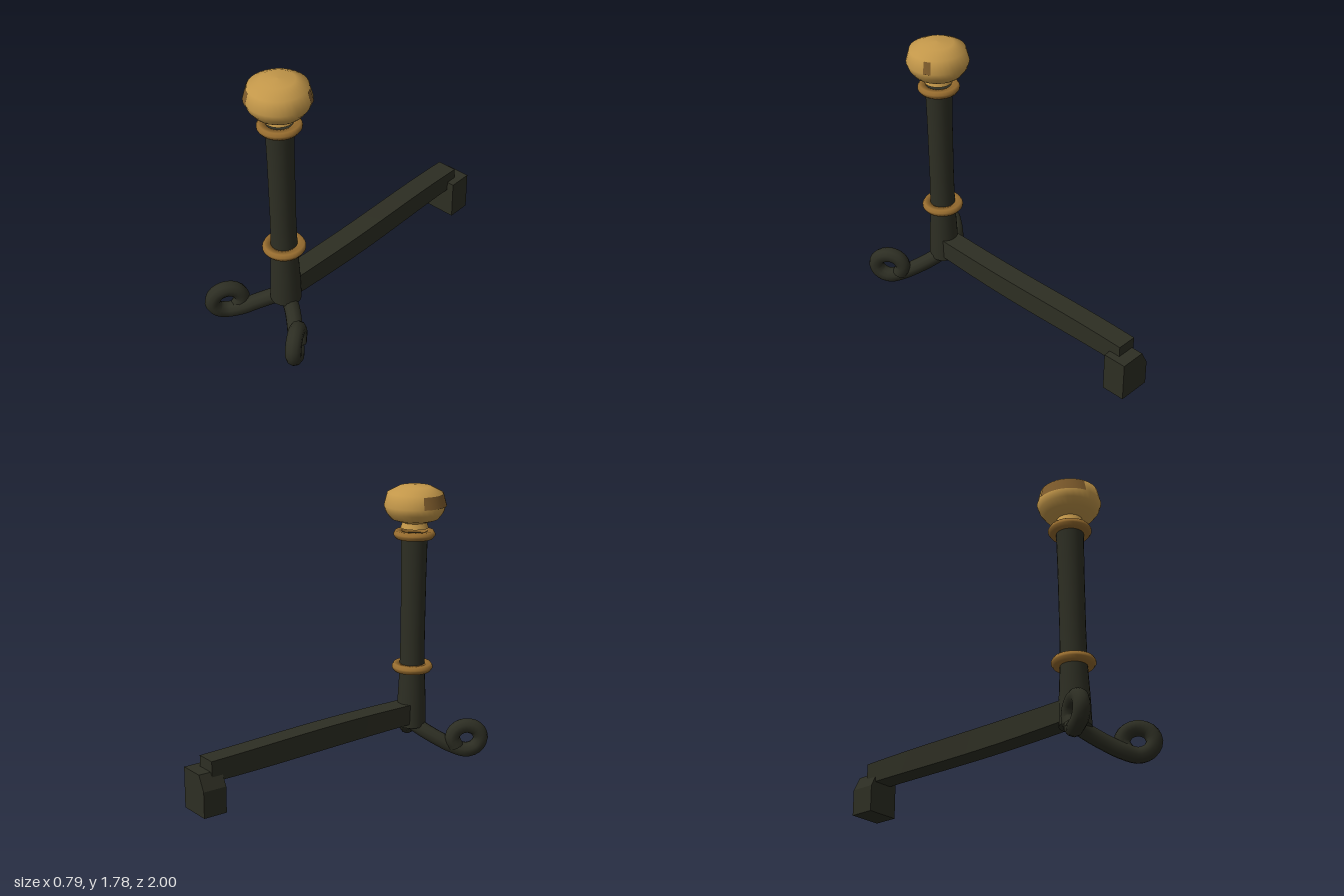
import * as THREE from 'three';

const iron = new THREE.MeshStandardMaterial({ color: 0x2d2e23 });
iron.name = 'blackened iron';
iron.flatShading = false;
const brass = new THREE.MeshStandardMaterial({ color: 0xc4984a });
brass.name = 'brass';
brass.side = THREE.DoubleSide;
const darkBrass = new THREE.MeshStandardMaterial({ color: 0x986d2f });
darkBrass.name = 'dark brass';
const tarnish = new THREE.MeshStandardMaterial({ color: 0x7f5c2c });
tarnish.name = 'tarnish';
tarnish.side = THREE.DoubleSide;

const POST_Z = 0.655;

export function createModel() {
  const model = new THREE.Group();
  model.name = 'fireDog';

  const add = (name, geometry, material, x = 0, y = 0, z = 0) => {
    const mesh = new THREE.Mesh(geometry, material);
    mesh.name = name;
    mesh.position.set(x, y, z);
    model.add(mesh);
    return mesh;
  };
  const lathe = (points, segments = 32, start = 0, length = Math.PI * 2) =>
    new THREE.LatheGeometry(points.map(([r, y]) => new THREE.Vector2(r, y)), segments, start, length);

  // Upright post, flared below the lower collar
  add('post', lathe([[0, 0.2], [0.096, 0.2], [0.096, 0.2], [0.092, 0.36], [0.081, 0.58],
    [0.078, 0.8], [0.08, 1.2], [0.084, 1.46], [0.084, 1.46], [0, 1.46]], 20), iron, 0, 0, POST_Z);

  // Two brass collars
  const collar = lathe([[0.08, -0.024], [0.118, -0.025], [0.131, -0.006], [0.131, 0.006],
    [0.12, 0.025], [0.08, 0.024], [0.08, -0.024]]);
  add('lowerCollar', collar, darkBrass, 0, 0.595, POST_Z);
  add('upperCollar', collar, darkBrass, 0, 1.464, POST_Z);

  // Knob with a short neck
  add('knobNeck', lathe([[0.088, 1.505], [0.08, 1.53], [0.074, 1.55]]), brass, 0, 0, POST_Z);
  add('knob', lathe([[0.07, 1.538], [0.15, 1.565], [0.18, 1.605], [0.195, 1.648], [0.174, 1.73],
    [0.1, 1.768], [0, 1.776]]), brass, 0, 0, POST_Z);

  // Tarnished patches lying on the knob
  for (const [from, to] of [[-113, -22], [110, 124]]) {
    add('knobPatch', lathe([[0.199, 1.648], [0.179, 1.724]], 12,
      THREE.MathUtils.degToRad(from), THREE.MathUtils.degToRad(to - from)), tarnish, 0, 0, POST_Z);
  }

  // Splayed front legs ending in vertical scroll loops
  for (const side of [1, -1]) {
    const path = [[0.01, 0.215, 0.655], [0.08, 0.175, 0.69], [0.16, 0.125, 0.75], [0.225, 0.084, 0.81]];
    for (let deg = -90; deg <= 225; deg += 45) {
      const a = THREE.MathUtils.degToRad(deg);
      path.push([0.295 + 0.05 * Math.cos(a), 0.143 + 0.082 * Math.sin(a), 0.875 + 0.078 * Math.cos(a)]);
    }
    const curve = new THREE.CatmullRomCurve3(path.map(([x, y, z]) => new THREE.Vector3(side * x, y, z)));
    add(side > 0 ? 'leftLeg' : 'rightLeg', new THREE.TubeGeometry(curve, 36, 0.049, 10), iron);
  }

  // Long log bar, slightly uneven and sloping to the back
  const bar = new THREE.BoxGeometry(0.132, 0.13, 1.53, 1, 1, 10);
  const p = bar.attributes.position;
  for (let i = 0; i < p.count; i++) {
    const t = 0.5 - p.getZ(i) / 1.53;
    p.setX(i, p.getX(i) + 0.009 * Math.sin(t * Math.PI * 1.6));
    p.setY(i, p.getY(i) * (1 + 0.1 * Math.sin(t * Math.PI)) + 0.292 - 0.03 * t);
  }
  bar.computeVertexNormals();
  add('logBar', bar, iron, 0, 0, -0.155);

  // Rear foot block with one bevelled upper edge
  const outline = new THREE.Shape([[-0.108, 0], [0.106, 0], [0.106, 0.258], [-0.06, 0.258], [-0.108, 0.165]]
    .map(([x, y]) => new THREE.Vector2(x, y)));
  add('rearFoot', new THREE.ExtrudeGeometry(outline, { depth: 0.155, bevelEnabled: false }), iron, 0, 0, -1);

  return model;
}
